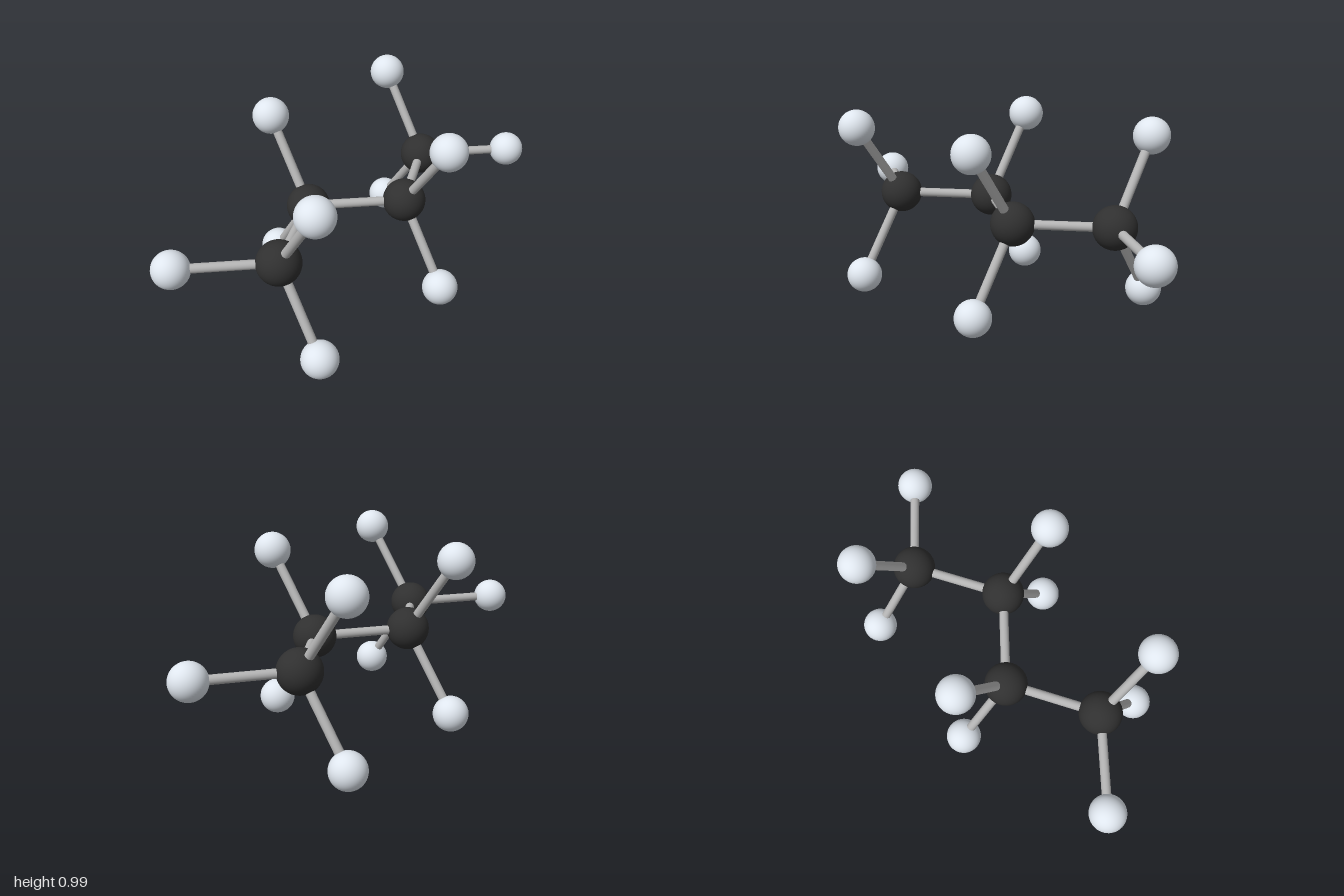
import * as THREE from 'three';

const BOND = 0.495, CARBON_R = 0.11, HYDROGEN_R = 0.0925, ROD_R = 0.0235;
const MID_Y = 0.4965;

// tetrahedral offsets along and across a bond
const ALONG = BOND / 3;
const ACROSS = BOND * Math.sqrt(8) / 3;
const RISE = ACROSS * Math.sin(Math.PI / 3);
const REACH = ACROSS / 2;

export function createModel() {
  const model = new THREE.Group();
  model.name = 'ballAndStickMolecule';

  const carbonMat = new THREE.MeshStandardMaterial({ color: 0x303030 });
  const hydrogenMat = new THREE.MeshStandardMaterial({ color: 0xdfe6ee });
  const rodMat = new THREE.MeshStandardMaterial({ color: 0xb4b4b4 });
  const carbonGeo = new THREE.SphereGeometry(CARBON_R, 48, 32);
  const hydrogenGeo = new THREE.SphereGeometry(HYDROGEN_R, 48, 32);
  const rodGeo = new THREE.CylinderGeometry(ROD_R, ROD_R, BOND, 24);
  const up = new THREE.Vector3(0, 1, 0);

  function ball(name, geo, mat, position) {
    const mesh = new THREE.Mesh(geo, mat);
    mesh.name = name;
    mesh.position.copy(position);
    model.add(mesh);
  }

  function rod(name, a, b) {
    const mesh = new THREE.Mesh(rodGeo, rodMat);
    mesh.name = name;
    mesh.position.addVectors(a, b).multiplyScalar(0.5);
    mesh.quaternion.setFromUnitVectors(up, b.clone().sub(a).normalize());
    model.add(mesh);
  }

  // the chain is two identical halves, turned 180 degrees about the y axis
  const inner = [];
  for (const [side, s] of [['left', 1], ['right', -1]]) {
    const at = (x, y, z) => new THREE.Vector3(s * x, MID_Y + y, s * z);
    const x1 = BOND / 2, x2 = x1 + ALONG;
    const innerCarbon = at(x1, 0, 0);
    const endCarbon = at(x2, 0, -ACROSS);
    inner.push(innerCarbon);

    ball(side + 'InnerCarbon', carbonGeo, carbonMat, innerCarbon);
    ball(side + 'EndCarbon', carbonGeo, carbonMat, endCarbon);
    rod(side + 'ChainBond', innerCarbon, endCarbon);

    // hydrogens with the carbon each one hangs from
    const hydrogens = [
      ['Tip', endCarbon, at(x2 + BOND, 0, -ACROSS)],
      ['EndUpper', endCarbon, at(x1, RISE, -ACROSS - REACH)],
      ['EndLower', endCarbon, at(x1, -RISE, -ACROSS - REACH)],
      ['InnerUpper', innerCarbon, at(x2, RISE, REACH)],
      ['InnerLower', innerCarbon, at(x2, -RISE, REACH)],
    ];
    for (const [label, carbon, position] of hydrogens) {
      ball(side + label + 'Hydrogen', hydrogenGeo, hydrogenMat, position);
      rod(side + label + 'Bond', carbon, position);
    }
  }
  rod('centreBond', inner[0], inner[1]);

  return model;
}
